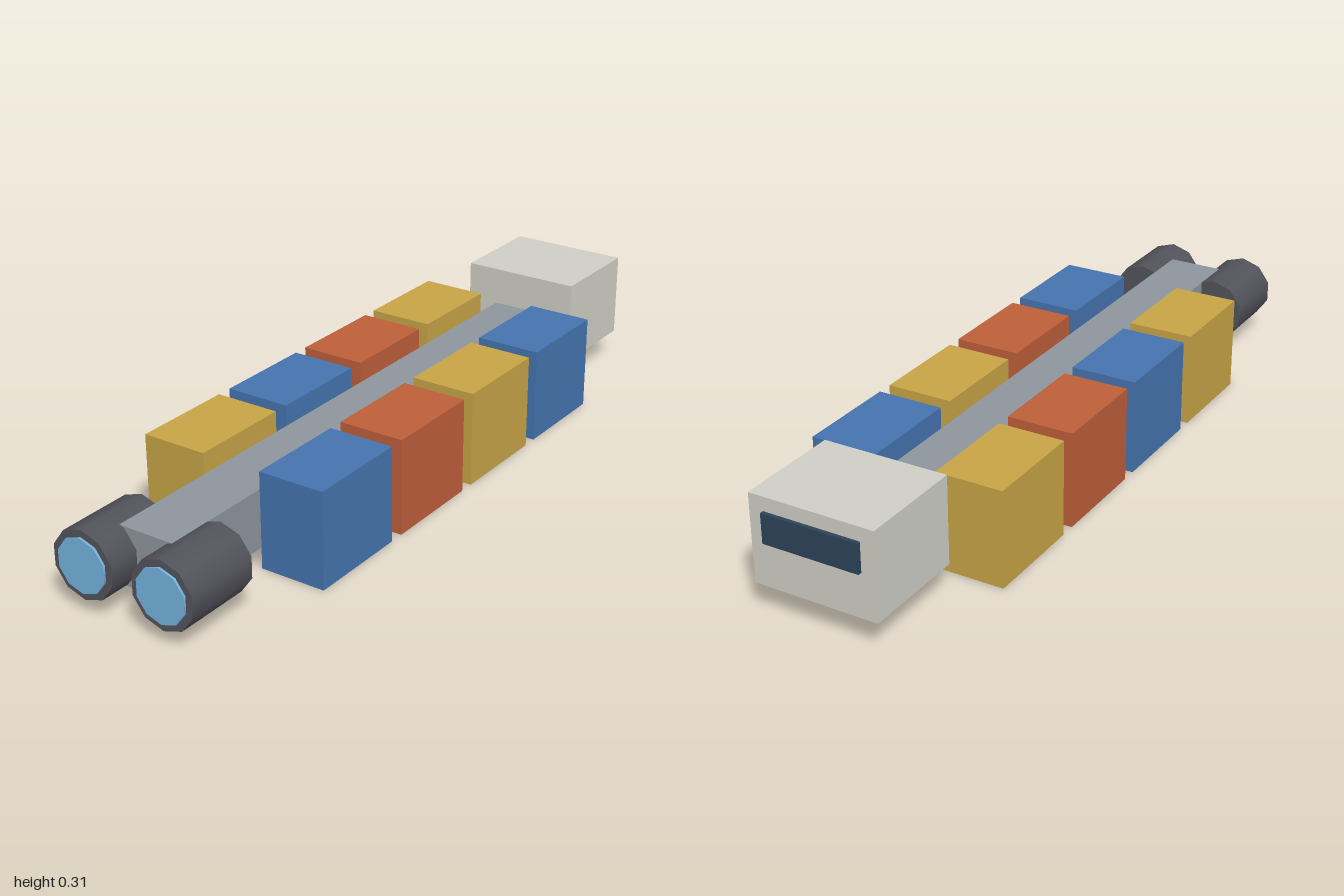
import * as THREE from 'three';

const mat = (name, color) => {
  const m = new THREE.MeshStandardMaterial({ color });
  m.name = name;
  return m;
};

export function createModel() {
  const ship = new THREE.Group();
  ship.name = 'cargoShip';

  const blue = mat('blue', 0x4675b0);
  const orange = mat('rust orange', 0xbf5f3a);
  const yellow = mat('ochre yellow', 0xc8a547);
  const hull = mat('hull grey', 0x8e969e);
  const pale = mat('pale grey', 0xd0d0c8);
  const dark = mat('engine dark', 0x53535c);
  const glow = mat('engine glow', 0x76b4df);
  const glass = mat('window navy', 0x2c4359);

  const add = (name, geometry, material, x, y, z) => {
    const mesh = new THREE.Mesh(geometry, material);
    mesh.name = name;
    mesh.position.set(x, y, z);
    ship.add(mesh);
    return mesh;
  };

  // Central spine
  add('spine', new THREE.BoxGeometry(0.154, 0.154, 1.78), hull, 0, 0.128, 0.02);

  // Cargo containers in four pairs, listed from +z to -z
  const container = new THREE.BoxGeometry(0.179, 0.256, 0.279);
  const leftColours = [blue, orange, yellow, blue];
  const rightColours = [yellow, blue, orange, yellow];
  for (let i = 0; i < 4; i++) {
    const z = 0.468 - i * 0.32;
    add('leftContainer', container, leftColours[i], 0.1725, 0.128, z);
    add('rightContainer', container, rightColours[i], -0.1725, 0.128, z);
  }

  // Bridge with a window strip
  add('bridge', new THREE.BoxGeometry(0.332, 0.23, 0.281), pale, 0, 0.193, -0.849);
  add('bridgeWindow', new THREE.BoxGeometry(0.256, 0.077, 0.02), glass, 0, 0.233, -0.99);

  // Ten-sided engines with glowing discs
  const nozzle = new THREE.CylinderGeometry(0.0895, 0.0895, 0.205, 10).rotateX(Math.PI / 2);
  const disc = new THREE.CylinderGeometry(0.071, 0.071, 0.02, 10).rotateX(Math.PI / 2);
  for (const side of [1, -1]) {
    add('engine', nozzle, dark, side * 0.115, 0.128, 0.8915);
    add('engineGlow', disc, glow, side * 0.115, 0.128, 0.99);
  }

  return ship;
}
